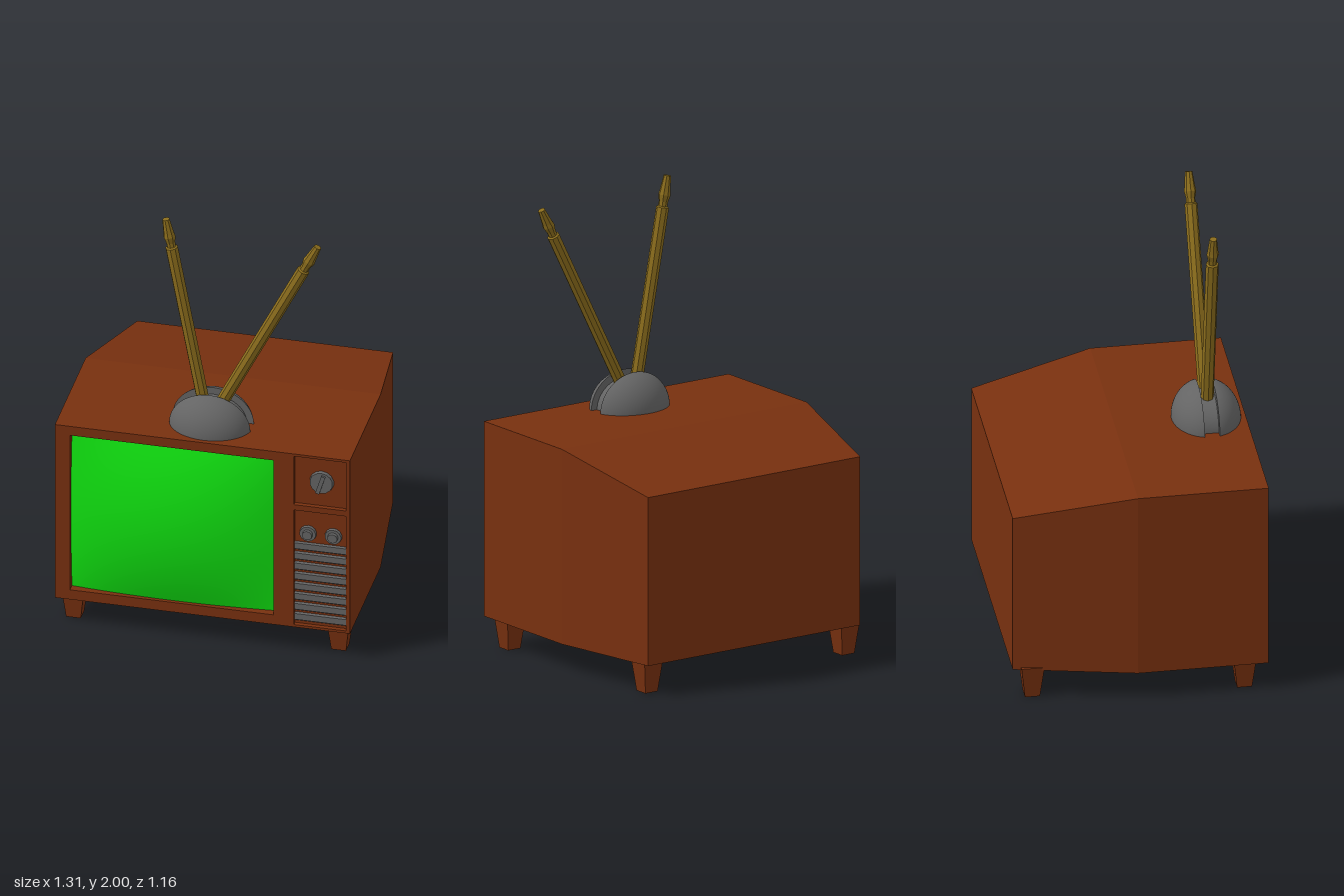
import * as THREE from 'three';

const mat = (name, color, extra = {}) => {
  const m = new THREE.MeshStandardMaterial({ color, ...extra });
  m.name = name;
  return m;
};

export function createModel() {
  const wood = mat('brown wood', 0x78300f, { flatShading: true });
  const glass = mat('green screen', 0x10e010);
  const metal = mat('grey metal', 0x646464, { flatShading: true });
  const dome = mat('grey dome', 0x646464);
  const brass = mat('brass', 0x8a6c1c, { flatShading: true });

  const model = new THREE.Group();
  model.name = 'television';
  const add = (name, geo, material, x = 0, y = 0, z = 0, parent = model) => {
    const mesh = new THREE.Mesh(geo, material);
    mesh.name = name;
    mesh.position.set(x, y, z);
    parent.add(mesh);
    return mesh;
  };

  // Cabinet: rectangular sections [z, left, right, bottom, top], tapering to the back
  const sections = [
    [0.46, -0.653, 0.653, 0.13, 1.0],
    [-0.05, -0.653, 0.653, 0.13, 1.0],
    [-0.58, -0.55, 0.582, 0.138, 0.89],
  ];
  const pts = [], idx = [];
  for (const [z, l, r, b, t] of sections) pts.push(l, b, z, r, b, z, r, t, z, l, t, z);
  for (let s = 0; s < 2; s++) {
    for (let i = 0; i < 4; i++) {
      const a = s * 4 + i, b = s * 4 + (i + 1) % 4;
      idx.push(a, a + 4, b, b, a + 4, b + 4);
    }
  }
  idx.push(0, 1, 2, 0, 2, 3, 8, 10, 9, 8, 11, 10);
  const shell = new THREE.BufferGeometry();
  shell.setAttribute('position', new THREE.Float32BufferAttribute(pts, 3));
  shell.setIndex(idx);
  const cabinetGeo = shell.toNonIndexed();
  cabinetGeo.computeVertexNormals();
  add('cabinet', cabinetGeo, wood);

  // Front frame with openings for the screen and two control panels
  const rect = (Type, l, r, b, t) => new Type([[l, b], [r, b], [r, t], [l, t]].map(p => new THREE.Vector2(...p)));
  const face = rect(THREE.Shape, -0.653, 0.653, 0.13, 1.0);
  const panels = [[0.405, 0.636, 0.745, 0.988], [0.405, 0.636, 0.142, 0.718]];
  for (const o of [[-0.586, 0.314, 0.178, 0.955], ...panels]) face.holes.push(rect(THREE.Path, ...o));
  add('frontFrame', new THREE.ExtrudeGeometry(face, { depth: 0.06, bevelEnabled: false }), wood, 0, 0, 0.46);
  for (const [l, r, b, t] of panels) {
    add('controlPanel', new THREE.BoxGeometry(r - l, t - b, 0.04), wood, (l + r) / 2, (b + t) / 2, 0.48);
  }

  // Bulging screen
  const screen = new THREE.PlaneGeometry(0.9, 0.777, 24, 20);
  const sp = screen.attributes.position;
  for (let i = 0; i < sp.count; i++) {
    const u = (sp.getX(i) / 0.45) ** 2, v = (sp.getY(i) / 0.3885) ** 2;
    sp.setZ(i, 0.58 - 0.076 * (u + v) + 0.055 * u * v);
  }
  screen.computeVertexNormals();
  add('screen', screen, glass, -0.136, 0.5665, 0);

  // Knobs
  const disc = (name, r, z0, z1, x, y) =>
    add(name, new THREE.CylinderGeometry(r * 0.94, r, z1 - z0, 14).rotateX(Math.PI / 2), metal, x, y, (z0 + z1) / 2);
  disc('channelKnob', 0.054, 0.5, 0.515, 0.524, 0.865);
  const pointer = add('channelPointer', new THREE.BoxGeometry(0.018, 0.09, 0.012), metal, 0.522, 0.86, 0.519);
  pointer.rotation.z = -0.3;
  for (const x of [0.464, 0.576]) {
    disc('smallKnob', 0.038, 0.5, 0.513, x, 0.6);
    disc('smallKnobCap', 0.023, 0.513, 0.527, x, 0.6);
  }

  // Speaker grille: louvres with undercut lower faces
  const grille = new THREE.Shape();
  const pitch = 0.0508, top = 0.552;
  grille.moveTo(0.47, top);
  for (let i = 0; i < 8; i++) {
    const y = top - i * pitch;
    grille.lineTo(0.517, y);
    grille.lineTo(0.517, y - 0.029);
    grille.lineTo(0.488, y - pitch + 0.001);
  }
  grille.lineTo(0.47, top - 8 * pitch);
  const grilleGeo = new THREE.ExtrudeGeometry(grille, { depth: 0.229, bevelEnabled: false });
  add('speakerGrille', grilleGeo.rotateY(-Math.PI / 2), metal, 0.635, 0, 0);

  // Tapered square legs
  for (const side of [-1, 1]) {
    for (const [x, z] of [[0.587, 0.42], [0.525, -0.495]]) {
      const leg = new THREE.CylinderGeometry(0.0707, 0.046, 0.15, 4).rotateY(Math.PI / 4);
      add(z > 0 ? 'frontLeg' : 'backLeg', leg, wood, side * x, 0.075, z);
    }
  }

  // Antenna base: split dome with a narrower core in the slot
  const base = new THREE.Group();
  base.name = 'antennaBase';
  base.position.set(0, 1.0, 0.35);
  model.add(base);
  const cut = Math.acos(0.033 / 0.15), sr = Math.sin(cut);
  for (const front of [true, false]) {
    const cap = new THREE.SphereGeometry(1, 28, 16, Math.PI, Math.PI, front ? 0 : Math.PI - cut, cut);
    add('domeHalf', cap.rotateX(Math.PI / 2).scale(0.184, 0.162, 0.15), dome, 0, 0, 0, base);
    const wall = new THREE.CircleGeometry(1, 28, 0, Math.PI);
    if (front) wall.rotateY(Math.PI);
    add('slotWall', wall.scale(0.184 * sr, 0.162 * sr, 1), dome, 0, 0, front ? 0.033 : -0.033, base);
  }
  const core = new THREE.CylinderGeometry(1, 1, 0.066, 28).rotateX(Math.PI / 2).scale(0.15, 0.125, 1);
  add('domeCore', core, dome, 0, 0, 0, base);

  // Antennas: octagonal rods with a stepped, pointed tip
  const antenna = (name, x0, x1, y1) => {
    const from = new THREE.Vector3(x0, 1.04, 0.35), to = new THREE.Vector3(x1, y1, 0.35);
    const dir = to.clone().sub(from), n = dir.length();
    const profile = [
      [0, 0], [0.028, 0], [0.028, n - 0.14], [0.02, n - 0.135], [0.02, n - 0.115],
      [0.027, n - 0.085], [0.024, n - 0.07], [0.016, n], [0, n],
    ].map(p => new THREE.Vector2(...p));
    const rod = add(name, new THREE.LatheGeometry(profile, 8), brass, from.x, from.y, from.z);
    rod.quaternion.setFromUnitVectors(new THREE.Vector3(0, 1, 0), dir.normalize());
  };
  antenna('rightAntenna', -0.024, -0.202, 1.997);
  antenna('leftAntenna', 0.01, 0.47, 1.95);

  return model;
}
